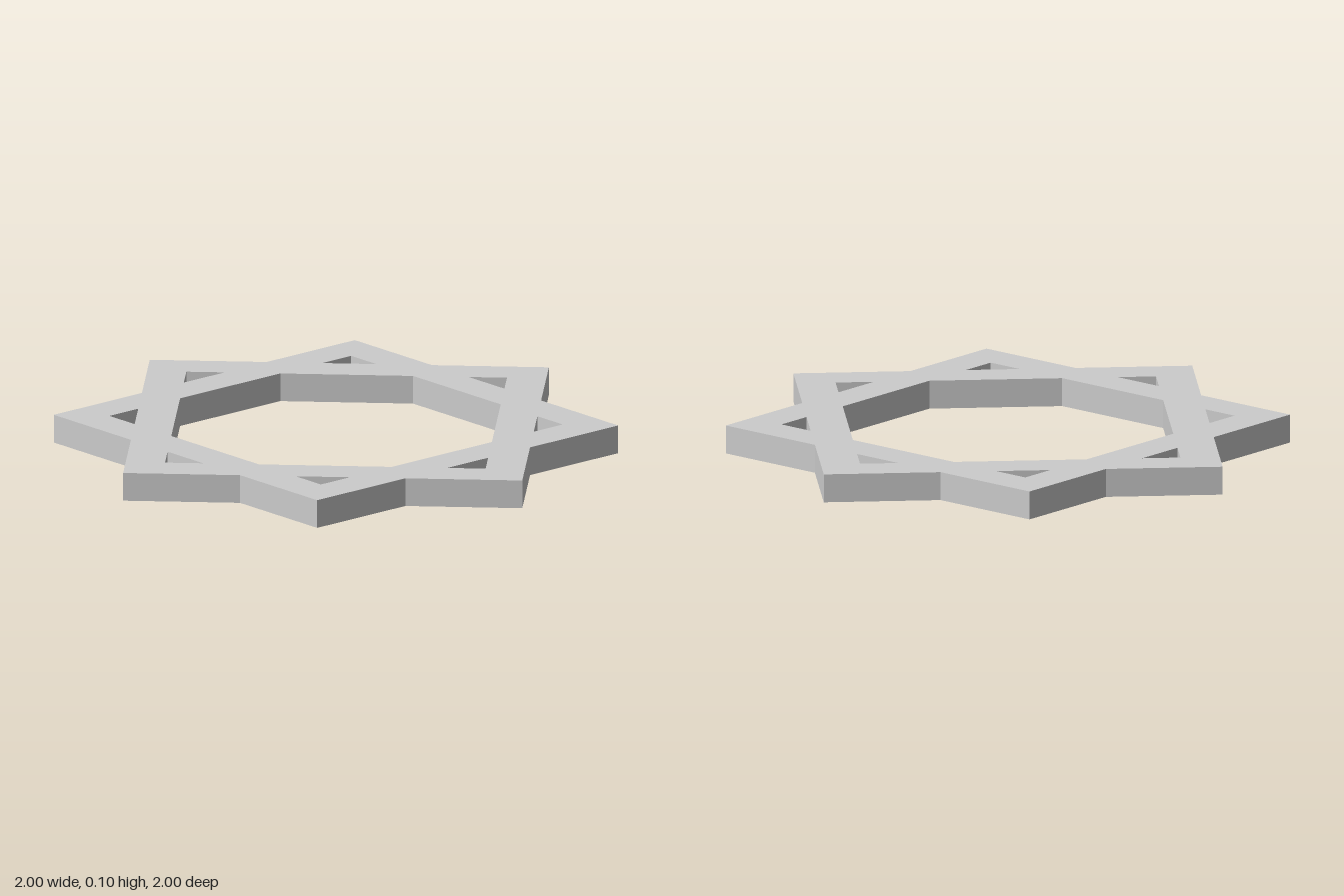
import * as THREE from 'three';

const OUTER = Math.SQRT1_2; // half width of each square frame
const INNER = 0.568;        // half width of each square opening
const HEIGHT = 0.102;
const STEP = Math.PI / 4;

const polar = (r, a) => new THREE.Vector2(r * Math.cos(a), r * Math.sin(a));

export function createModel() {
  const group = new THREE.Group();
  group.name = 'eightPointedStar';

  const outline = [], opening = [], holes = [];
  const notch = 1 / Math.cos(STEP / 2);
  const tip = INNER * Math.SQRT2;
  for (let i = 0; i < 8; i++) {
    const a = i * STEP;
    // star point followed by the notch between two points
    outline.push(polar(OUTER * Math.SQRT2, a), polar(OUTER * notch, a + STEP / 2));
    // corner of the central octagon
    opening.push(polar(INNER * notch, a + STEP / 2));
    // small triangular window inside the point
    const half = tip - OUTER;
    const centre = new THREE.Vector2();
    holes.push([[tip, 0], [OUTER, half], [OUTER, -half]]
      .map(([x, y]) => new THREE.Vector2(x, y).rotateAround(centre, a)));
  }

  // two interlaced square frames as one flat plate
  const shape = new THREE.Shape(outline);
  shape.holes = [opening, ...holes].map((points) => new THREE.Path(points));
  const geometry = new THREE.ExtrudeGeometry(shape, { depth: HEIGHT, bevelEnabled: false });
  geometry.rotateX(-Math.PI / 2);

  const frame = new THREE.Mesh(
    geometry,
    new THREE.MeshStandardMaterial({ color: 0xcccccc, flatShading: true })
  );
  frame.name = 'starFrame';
  group.add(frame);
  return group;
}
